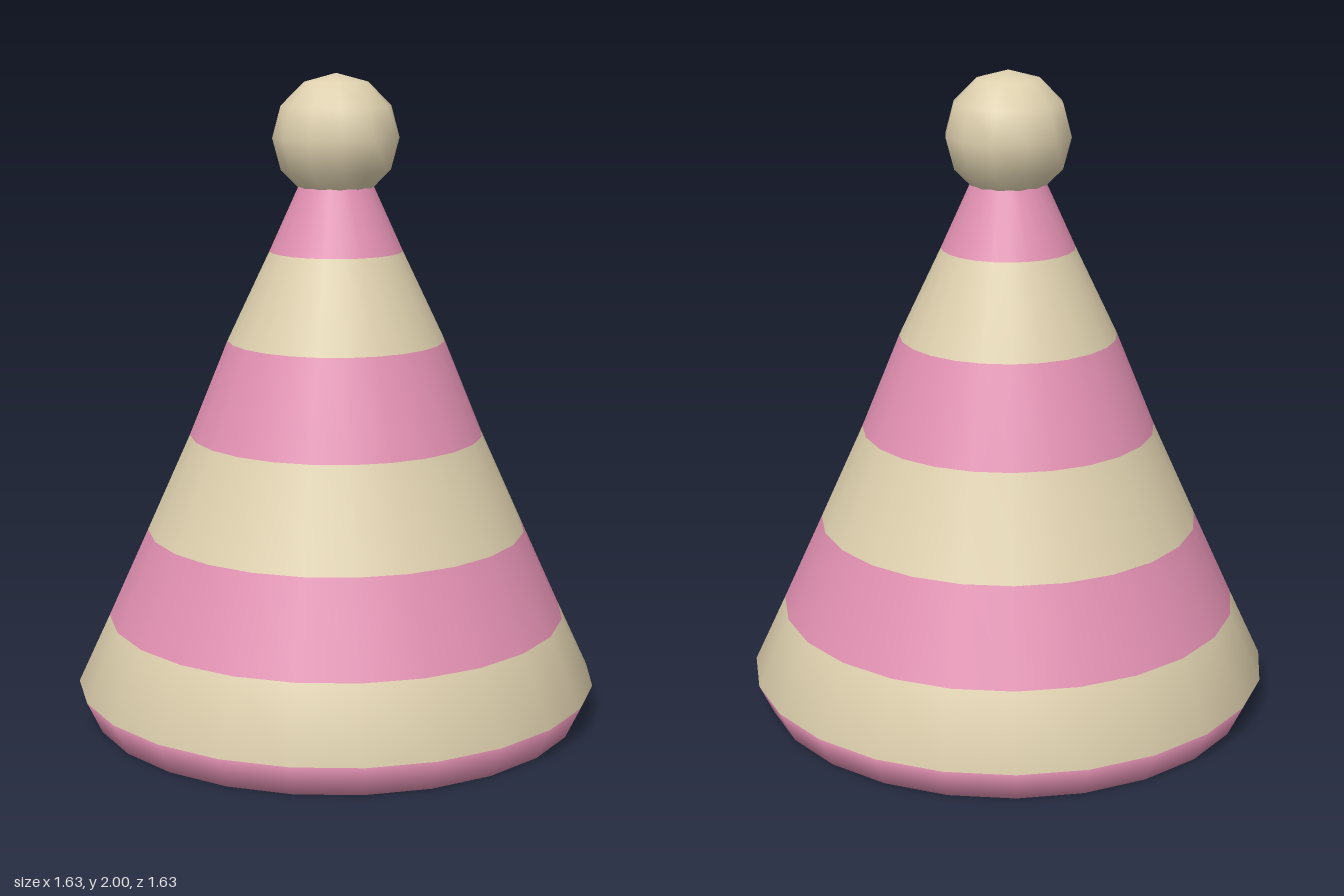
import * as THREE from 'three';

const SIDES = 24;

export function createModel() {
  const cream = new THREE.MeshStandardMaterial({ color: 0xded0ae });
  cream.name = 'cream';
  const pink = new THREE.MeshStandardMaterial({ color: 0xe08fb0 });
  pink.name = 'pink';

  const model = new THREE.Group();
  model.name = 'partyHat';

  // Hat: one smooth lathe from the centre of the base up to the tip, [radius, height]
  const profile = [
    [0, 0], [0.77, 0], [0.817, 0.1], [0.717, 0.315], [0.592, 0.59],
    [0.457, 0.89], [0.337, 1.185], [0.206, 1.46], [0.115, 1.66],
  ].map(([r, y]) => new THREE.Vector2(r, y));
  const cone = new THREE.LatheGeometry(profile, SIDES);

  // Bands alternate in colour: base cream, rim pink, then cream and pink to the tip.
  // Reorder the faces band by band so each band is one geometry group.
  const bands = profile.length - 1;
  const source = cone.index.array;
  const index = [];
  for (let band = 0; band < bands; band++) {
    for (let side = 0; side < SIDES; side++) {
      const start = (side * bands + band) * 6;
      index.push(...source.slice(start, start + 6));
    }
    cone.addGroup(band * SIDES * 6, SIDES * 6, band % 2);
  }
  cone.setIndex(index);
  const hat = new THREE.Mesh(cone, [cream, pink]);
  hat.name = 'stripedCone';
  model.add(hat);

  // Pompom on the tip
  const pompom = new THREE.Mesh(new THREE.SphereGeometry(0.195, 12, 6), cream);
  pompom.name = 'pompom';
  pompom.position.y = 1.805;
  model.add(pompom);

  return model;
}
